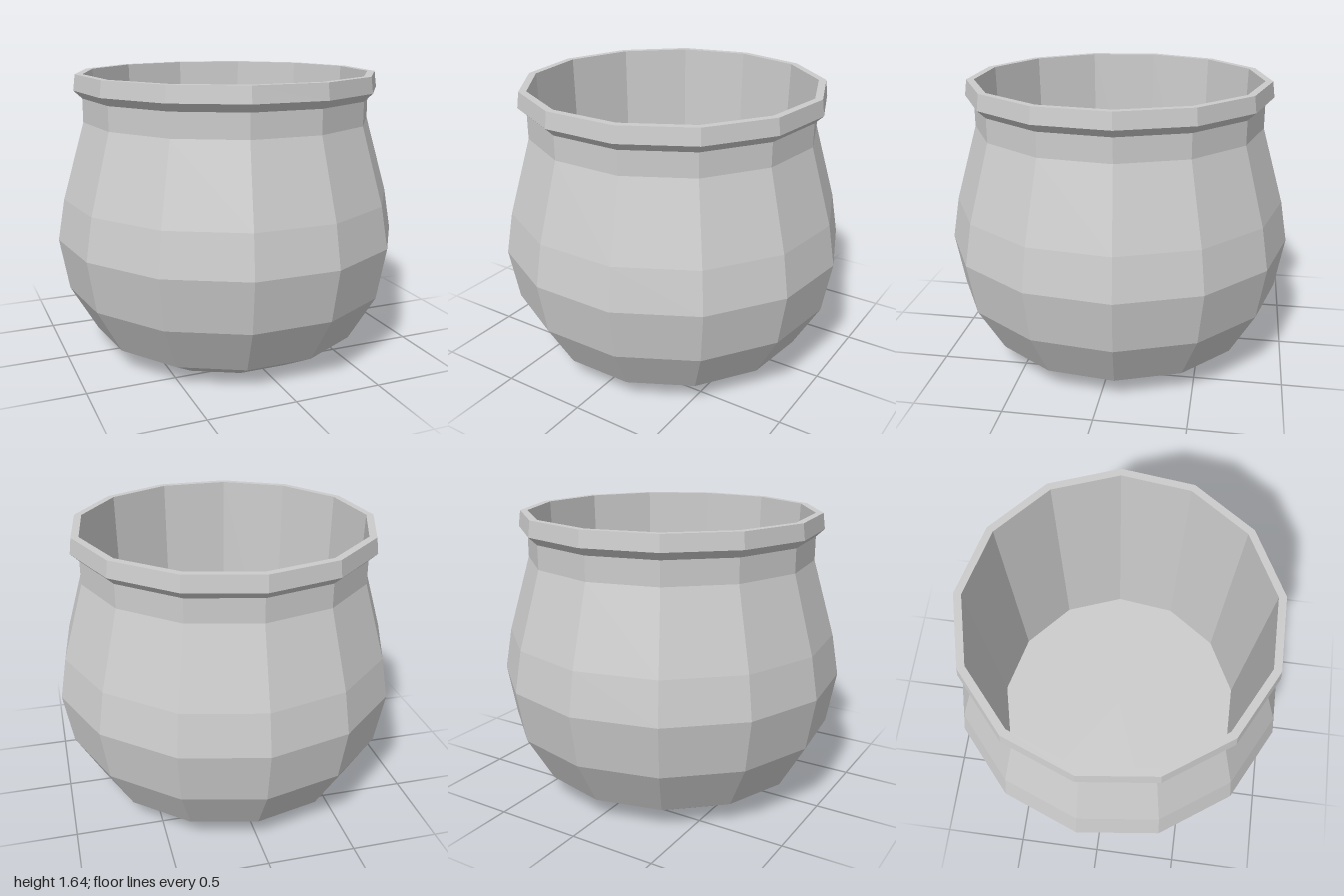
import * as THREE from 'three';

const SIDES = 13;

// Faceted ring of revolution from [radius, y] pairs, with one corner at the back
function turned(name, profile) {
  const points = profile.map(([r, y]) => new THREE.Vector2(r, y));
  const geometry = new THREE.LatheGeometry(points, SIDES, Math.PI);
  const material = new THREE.MeshStandardMaterial({ color: 0xcccccc, flatShading: true });
  const mesh = new THREE.Mesh(geometry, material);
  mesh.name = name;
  return mesh;
}

export function createModel() {
  const pot = new THREE.Group();
  pot.name = 'pot';

  // Closed base, rounded belly and straight neck
  pot.add(turned('body', [
    [0, 0], [0.585, 0], [0.8, 0.12], [0.955, 0.39], [1.007, 0.69],
    [0.965, 0.93], [0.837, 1.37], [0.837, 1.505],
  ]));

  // Flared lip with a flat top
  pot.add(turned('rim', [
    [0.837, 1.505], [0.885, 1.55], [0.873, 1.64], [0.83, 1.64],
  ]));

  // Slightly tapered inner wall and flat floor
  pot.add(turned('inside', [[0.83, 1.64], [0.787, 0.13], [0, 0.13]]));

  // An odd number of sides is deeper at the back corner, so centre it in z
  pot.children.forEach((part) => { part.position.z = 0.015; });
  return pot;
}
